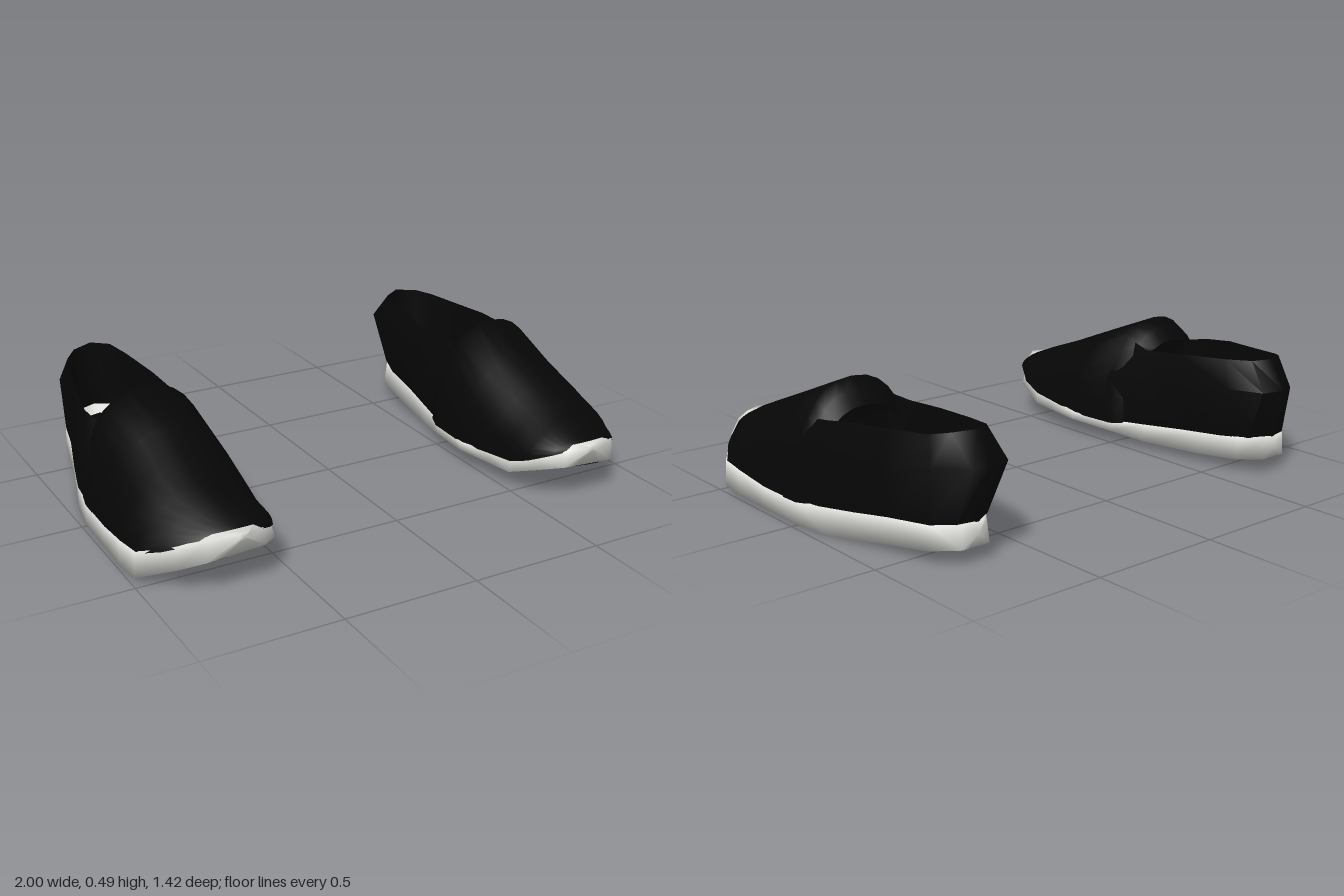
import * as THREE from 'three';
import { toCreasedNormals } from 'three/addons/utils/BufferGeometryUtils.js';

const material = (name, color) =>
  new THREE.MeshStandardMaterial({ name, color, side: THREE.DoubleSide });

// Skin rows of [x, y, z] points into one surface.
function loft(rows, closed = false) {
  const n = rows[0].length, index = [];
  for (let r = 0; r < rows.length - 1; r++) {
    for (let i = 0; i < (closed ? n : n - 1); i++) {
      const a = r * n + i, b = r * n + (i + 1) % n;
      index.push(a, b, a + n, b, b + n, a + n);
    }
  }
  const g = new THREE.BufferGeometry();
  g.setAttribute('position', new THREE.Float32BufferAttribute(rows.flat(2), 3));
  g.setIndex(index);
  return g;
}

// Sole stations: z, inner x, outer x, bottom y, top y
const SOLE = [
  [0.708, 0.675, 0.725, 0.195, 0.222],
  [0.67, 0.61, 0.82, 0.125, 0.222],
  [0.60, 0.54, 0.89, 0.085, 0.19],
  [0.47, 0.51, 0.99, 0.02, 0.115],
  [0.36, 0.49, 1.0, 0.018, 0.108],
  [0.2, 0.47, 0.992, 0.013, 0.088],
  [0, 0.495, 0.985, 0.006, 0.086],
  [-0.15, 0.535, 0.957, 0, 0.1],
  [-0.4, 0.58, 0.887, 0.027, 0.12],
  [-0.58, 0.605, 0.85, 0.048, 0.135],
  [-0.66, 0.665, 0.775, 0.056, 0.142],
];

// Height of the underside, which rises toward the inner edge except at the heel
function soleBottom(x, z) {
  let i = 0;
  while (i < SOLE.length - 2 && SOLE[i + 1][0] > z) i++;
  const t = (SOLE[i][0] - z) / (SOLE[i][0] - SOLE[i + 1][0]);
  const [xi, xo, y] = [1, 2, 3].map(k => THREE.MathUtils.lerp(SOLE[i][k], SOLE[i + 1][k], t));
  const tilt = 0.09 * THREE.MathUtils.smoothstep(z, -0.6, 0);
  return y + tilt * (xo - x) * Math.min(1, (xo - xi) / 0.3);
}

function soleGeometry() {
  const rows = SOLE.map(([z, xi, xo, , yt]) => {
    const w = xo - xi, row = [];
    for (let i = 0; i <= 4; i++) {
      const x = xi + w * i / 4;
      row.push([x, soleBottom(x, z), z]);
    }
    const sideY = z > 0.5 ? yt - 0.02 : yt;
    row.push([xo - 0.004, sideY, z], [xo - w * 0.2, yt, z]);
    row.push([xi + w * 0.2, yt, z], [xi + 0.012, Math.max(sideY, soleBottom(xi, z) + 0.02), z]);
    return row;
  });
  // close both ends
  rows.unshift(rows[0].map(() => [0.70, 0.21, 0.71]));
  rows.push(rows[rows.length - 1].map(() => [0.715, 0.1, -0.668]));
  return loft(rows, true);
}

// Domed front of the shoe: z, inner x, outer x, base y, ridge y
const VAMP = [
  [0.68, 0.67, 0.74, 0.205, 0.214],
  [0.645, 0.575, 0.84, 0.185, 0.234],
  [0.56, 0.525, 0.925, 0.142, 0.27],
  [0.47, 0.512, 0.982, 0.108, 0.303],
  [0.36, 0.497, 0.992, 0.1, 0.347],
  [0.2, 0.484, 0.987, 0.082, 0.41],
  [0, 0.492, 0.982, 0.084, 0.488],
  [-0.05, 0.51, 0.972, 0.09, 0.455],
  [-0.09, 0.535, 0.95, 0.1, 0.405],
];
function vampGeometry() {
  return loft(VAMP.map(([z, xi, xo, yb, yt]) => {
    const row = [], front = Math.min(0.45, Math.max(0, z));
    for (let i = 0; i <= 16; i++) {
      const a = Math.PI * i / 16, c = Math.cos(a);
      const slope = front * (c > 0 ? 1.3 : 0.4); // the outer side falls away faster
      row.push([
        (xi + xo) / 2 + (xo - xi) / 2 * Math.sign(c) * Math.abs(c) ** (0.85 + 0.25 * front),
        yb + (yt - yb) * Math.max(0, Math.sin(a)) ** (0.9 + slope),
        z < -0.08 && c < -0.5 ? z + 0.03 : z]);
    }
    return row;
  }));
}

// Wall round the heel, inner to outer side: base x z, middle x z, collar x z y
const WALL = [
  [0.505, 0.03, 0.50, 0.03, 0.60, -0.02, 0.41],
  [0.535, -0.12, 0.515, -0.1, 0.575, -0.12, 0.395],
  [0.573, -0.32, 0.555, -0.32, 0.585, -0.3, 0.41],
  [0.597, -0.5, 0.557, -0.56, 0.61, -0.5, 0.425],
  [0.633, -0.61, 0.612, -0.69, 0.635, -0.61, 0.435],
  [0.71, -0.663, 0.70, -0.712, 0.70, -0.65, 0.44],
  [0.785, -0.645, 0.76, -0.695, 0.78, -0.615, 0.435],
  [0.845, -0.58, 0.85, -0.6, 0.825, -0.56, 0.425],
  [0.882, -0.4, 0.895, -0.4, 0.868, -0.4, 0.415],
  [0.925, -0.27, 0.933, -0.27, 0.897, -0.27, 0.41],
  [0.965, -0.12, 0.967, -0.1, 0.92, -0.12, 0.39],
  [0.978, 0.03, 0.975, 0.03, 0.90, -0.02, 0.37],
];
const baseY = z => 0.09 + Math.max(0, -z) * 0.075;
const collarRow = WALL.map(w => [w[4], w[6], w[5]]);
const wallGeometry = () => loft([
  WALL.map(w => [w[0], baseY(w[1]), w[1]]),
  WALL.map(w => [w[2], w[3] < -0.55 ? 0.33 : 0.27, w[3]]),
  collarRow,
]);

// Inside of the wall: steep dark band under the collar, light slope down to the insole
const FLOOR = 0.155;
const inset = ([x, , z], t, y) => [x + (0.74 - x) * t, y, z + (z < -0.45 ? 0.17 * t : 0)];
const ledgeRow = collarRow.map(p => inset(p, 0.02, p[0] < 0.7 && p[2] > -0.25 ? 0.27 : 0.185));
const upperLining = () => loft([collarRow, ledgeRow]);
const lowerLining = () => loft([ledgeRow,
  collarRow.map(p => inset(p, p[0] < 0.72 ? 0.32 : 0.04, FLOOR))]);

// Flat plate from [x, z] corners
function plate(points, y) {
  const g = new THREE.ShapeGeometry(new THREE.Shape(points.map(([x, z]) => new THREE.Vector2(x, -z))));
  return g.rotateX(-Math.PI / 2).translate(0, y, 0);
}

// Oval tread that follows the underside
function treadGeometry(cx, cz, rx, rz) {
  const g = new THREE.RingGeometry(0, 1, 28, 10), p = g.attributes.position;
  for (let i = 0; i < p.count; i++) {
    const x = cx + rx * p.getX(i), z = cz + rz * p.getY(i);
    p.setXYZ(i, x, soleBottom(x, z) - 0.006, z);
  }
  return g;
}

function mirrored(g) {
  const m = g.clone().scale(-1, 1, 1);
  m.setIndex(Array.from(g.index.array).reverse());
  return m;
}

export function createModel() {
  const black = material('black fabric', 0x060606);
  const white = material('off-white rubber', 0xdededa);

  // name, geometry, material, crease angle
  const parts = [
    ['sole', soleGeometry(), white, Math.PI],
    ['vamp', vampGeometry(), black, 1],
    ['heelWall', wallGeometry(), black, 1],
    ['upperLining', upperLining(), black, 1],
    ['lowerLining', lowerLining(), white, 1],
    ['insole', plate([[0.55, 0.2], [0.93, 0.2], [0.935, -0.12], [0.9, -0.27], [0.865, -0.4],
      [0.82, -0.56], [0.70, -0.63], [0.625, -0.56], [0.595, -0.3], [0.56, -0.1]], FLOOR), white, 1],
    ['heelPad', plate([[0.645, -0.26], [0.868, -0.26], [0.872, -0.4], [0.83, -0.52],
      [0.79, -0.57], [0.70, -0.597], [0.655, -0.55], [0.635, -0.42]], FLOOR + 0.008), black, 1],
    ['forefootTread', treadGeometry(0.745, 0.285, 0.19, 0.355), black, 1],
    ['heelTread', treadGeometry(0.72, -0.415, 0.1, 0.2), black, 1],
  ];

  const model = new THREE.Group();
  model.name = 'pairOfShoes';
  for (const side of ['left', 'right']) {
    const shoe = new THREE.Group();
    shoe.name = side + 'Shoe';
    for (const [name, geometry, mat, crease] of parts) {
      const g = side === 'left' ? geometry : mirrored(geometry);
      const mesh = new THREE.Mesh(toCreasedNormals(g, crease), mat);
      mesh.name = name;
      shoe.add(mesh);
    }
    model.add(shoe);
  }
  return model;
}
